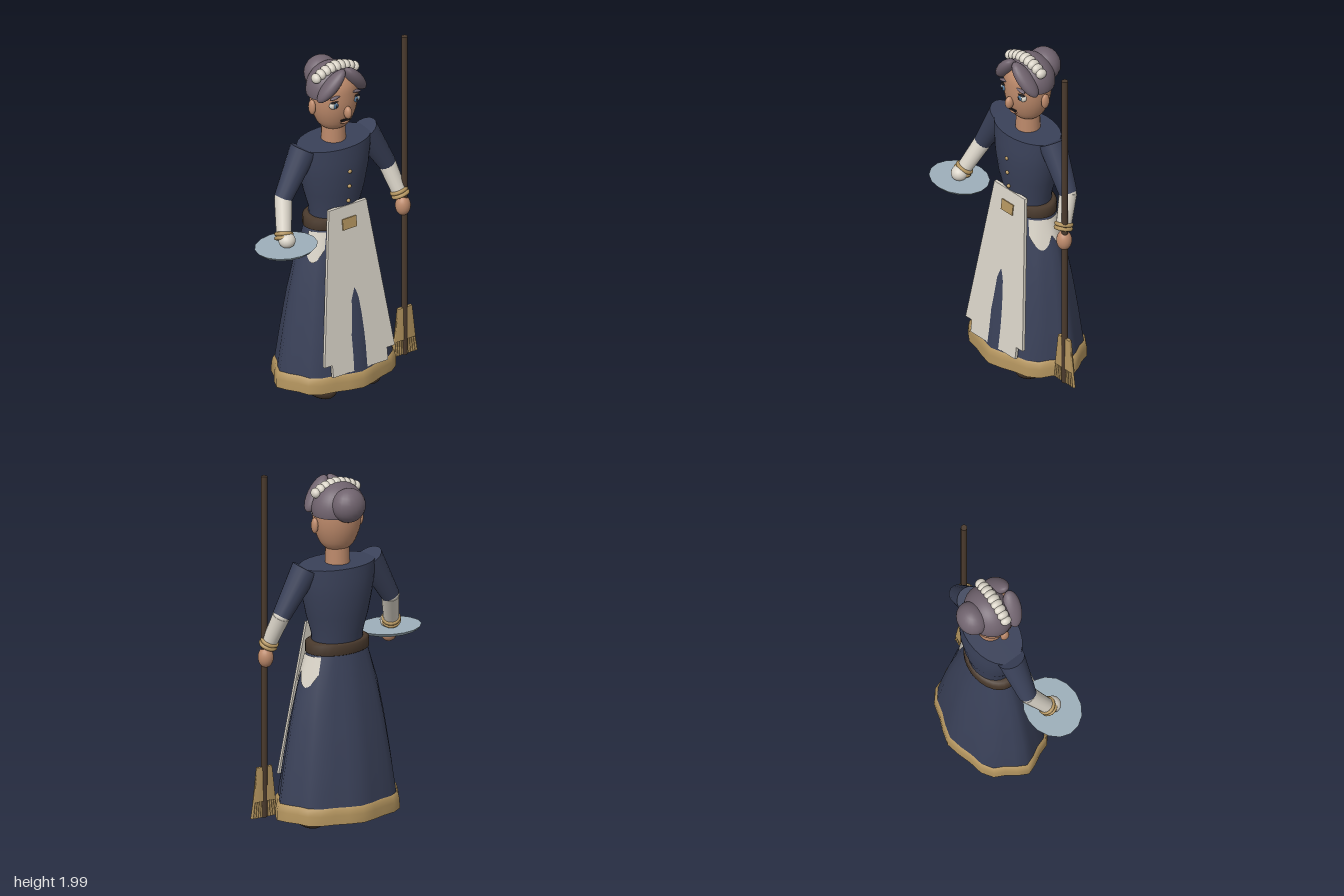
import * as THREE from 'three';

const mat = (name, color) => Object.assign(new THREE.MeshStandardMaterial({ color }), { name });
const M = {
  navy: mat('navy cloth', 0x3a4159), gold: mat('straw gold', 0xb4955f), cream: mat('cream linen', 0xd9d3c7),
  hair: mat('mauve hair', 0x70636e), skin: mat('skin', 0xbd8a6b), brown: mat('dark brown', 0x4a3a2d),
  tray: mat('pewter', 0x9dafba), dark: mat('near black', 0x1d1a1c), blue: mat('iris blue', 0x4f7292),
};
const SIDES = 28;
const V = (x, y, z) => new THREE.Vector3(x, y, z);

// Elliptical rings [y, rx, rz, ripple], listed from bottom to top
function loft(rings) {
  const pos = [], idx = [];
  rings.forEach(([y, rx, rz, amp = 0], i) => {
    for (let j = 0; j < SIDES; j++) {
      const a = (j / SIDES) * Math.PI * 2, k = 1 + amp * Math.cos(8 * a);
      pos.push(Math.sin(a) * rx * k, y, Math.cos(a) * rz * k);
      if (i === 0) continue;
      const n = (j + 1) % SIDES, lo = (i - 1) * SIDES, hi = i * SIDES;
      idx.push(lo + j, lo + n, hi + n, lo + j, hi + n, hi + j);
    }
  });
  const g = new THREE.BufferGeometry();
  g.setAttribute('position', new THREE.Float32BufferAttribute(pos, 3));
  g.setIndex(idx);
  g.computeVertexNormals();
  return g;
}

const SKIRT = [
  [0.105, 0.34, 0.25, 0.04], [0.19, 0.338, 0.247, 0.04], [0.4, 0.308, 0.221, 0.035],
  [0.6, 0.275, 0.193, 0.03], [0.8, 0.235, 0.156, 0.02], [1.0, 0.175, 0.118, 0],
];
function skirtAt(y) {
  let i = 1;
  while (i < SKIRT.length - 1 && SKIRT[i][0] < y) i++;
  const a = SKIRT[i - 1], b = SKIRT[i], t = (y - a[0]) / (b[0] - a[0]);
  return a.map((v, k) => v + (b[k] - v) * t);
}

export function createModel() {
  const root = new THREE.Group();
  root.name = 'housekeeper';
  const body = new THREE.Group();
  body.name = 'figure';
  body.position.x = 0.047;
  root.add(body);

  const add = (name, geo, material, p = [0, 0, 0]) => {
    const m = new THREE.Mesh(geo, material);
    m.name = name;
    m.position.set(...p);
    body.add(m);
    return m;
  };
  const ball = (name, material, p, r, rotZ = 0) => {
    const m = add(name, new THREE.SphereGeometry(1, 20, 14), material, p);
    m.scale.set(...r);
    m.rotation.z = rotZ;
    return m;
  };
  const limb = (name, material, a, b, ra, rb, sides = 16) => {
    const d = b.clone().sub(a);
    const m = add(name, new THREE.CylinderGeometry(rb, ra, d.length(), sides), material,
      a.clone().add(b).multiplyScalar(0.5).toArray());
    m.quaternion.setFromUnitVectors(V(0, 1, 0), d.normalize());
    return m;
  };

  // Dress: rippled skirt with closed underside, gold hem, bodice
  add('skirt', loft([[0.105, 0, 0], SKIRT[0], ...SKIRT]), M.navy);
  add('hem', loft([[0.1, 0.34, 0.248, 0.04], [0.1, 0.358, 0.262, 0.04], [0.1, 0.358, 0.262, 0.04],
    [0.15, 0.357, 0.261, 0.04], [0.18, 0.35, 0.256, 0.04], [0.192, 0.336, 0.245, 0.04]]), M.gold);
  add('bodice', loft([[1.0, 0.14, 0.11], [1.1, 0.146, 0.119], [1.2, 0.176, 0.136], [1.32, 0.202, 0.147],
    [1.4, 0.214, 0.145], [1.48, 0.22, 0.139], [1.48, 0.22, 0.139], [1.482, 0, 0]]), M.navy);
  add('belt', loft([[0.99, 0.168, 0.113], [1.0, 0.183, 0.128], [1.05, 0.183, 0.128], [1.06, 0.168, 0.115],
    [1.06, 0.14, 0.1]]), M.brown);
  [[1.34, 0.146], [1.25, 0.143], [1.16, 0.134]].forEach(([y, z]) =>
    ball('button', M.gold, [0, y, z], [0.011, 0.011, 0.01]));

  // Apron: slit panel leaning along the skirt front
  const half = [[0.122, 1.13], [0.228, 0.27], [0.178, 0.27], [0.178, 0.2], [0.037, 0.2], [0.027, 0.45], [0.014, 0.57]];
  const outline = [...half, [0, 0.63], ...half.map(([x, y]) => [-x, y]).reverse()];
  const apron = new THREE.ExtrudeGeometry(new THREE.Shape(outline.map(p => new THREE.Vector2(...p))),
    { depth: 0.018, bevelEnabled: false });
  const ap = apron.attributes.position;
  for (let i = 0; i < ap.count; i++) ap.setZ(i, ap.getZ(i) + 0.109 + (1.13 - ap.getY(i)) * 0.127);
  apron.computeVertexNormals();
  add('apron', apron, M.cream);
  add('buckle', new THREE.BoxGeometry(0.09, 0.062, 0.012), M.gold, [0, 1.03, 0.14]).rotation.x = -0.126;

  // Scalloped hip cloths hugging the skirt
  for (const [from, to, points] of [[40, 128, 2], [-78, -40, 1]]) {
    const g = new THREE.PlaneGeometry(1, 1, 20, 6), p = g.attributes.position;
    for (let i = 0; i < p.count; i++) {
      const u = p.getX(i) + 0.5, v = p.getY(i) + 0.5;
      const low = 0.9 - 0.075 * Math.abs(Math.sin(u * Math.PI * points));
      const y = low + (0.99 - low) * v, a = THREE.MathUtils.degToRad(from + (to - from) * u);
      const [, rx, rz, amp] = skirtAt(y), k = 1 + amp * Math.cos(8 * a);
      p.setXYZ(i, Math.sin(a) * (rx * k + 0.007), y, Math.cos(a) * (rz * k + 0.007));
    }
    g.computeVertexNormals();
    add('hipCloth', g, M.cream);
  }

  // Arms: sleeve, cuffed forearm, bangle, hand
  const arms = [
    { s: 1, wrist: V(0.375, 1.07, 0.075), hand: [0.39, 0.99, 0.085] },
    { s: -1, wrist: V(-0.397, 1.06, 0.1), hand: [-0.397, 0.972, 0.125] },
  ];
  for (const { s, wrist, hand } of arms) {
    const shoulder = V(s * 0.195, 1.475, 0), elbow = V(s * 0.338, 1.23, 0.012);
    limb('sleeve', M.navy, elbow, shoulder, 0.05, 0.076);
    ball('elbow', M.cream, elbow.toArray(), [0.046, 0.046, 0.046]);
    limb('forearm', M.cream, wrist, elbow, 0.041, 0.048);
    const dir = wrist.clone().sub(elbow).normalize();
    for (const off of [-0.008, 0.014]) {
      const b = add('bangle', new THREE.TorusGeometry(0.041, 0.011, 8, 20), M.gold,
        wrist.clone().addScaledVector(dir, off).toArray());
      b.quaternion.setFromUnitVectors(V(0, 0, 1), dir);
    }
    ball('hand', M.skin, hand, [0.042, s > 0 ? 0.057 : 0.042, 0.042]);
    ball('shoe', M.brown, [s * 0.143, 0.08, 0.06], [0.072, 0.074, 0.14]);
  }

  // Tray with a cloth ball on it
  const tray = add('tray', new THREE.CylinderGeometry(1, 0.9, 0.018, 16), M.tray, [-0.402, 1.005, 0.127]);
  tray.scale.set(0.178, 1, 0.148);
  ball('trayBall', M.cream, [-0.398, 1.045, 0.13], [0.046, 0.042, 0.046]);

  // Broom: pole and a fan of straw
  const bx = 0.398, bz = 0.088;
  add('broomPole', new THREE.CylinderGeometry(0.017, 0.017, 1.9, 14), M.brown, [bx, 1.05, bz]);
  add('broomHead', new THREE.CylinderGeometry(0.062, 0.09, 0.19, 4, 1, false, Math.PI / 4), M.gold, [bx, 0.285, bz])
    .scale.z = 0.2;
  for (let i = -5; i <= 5; i++) {
    limb('straw', M.gold, V(bx + i * 0.0148, 0.1, bz), V(bx + i * 0.0095, 0.3, bz), 0.0085, 0.006, 6);
  }

  // Neck and head
  add('neck', new THREE.CylinderGeometry(0.063, 0.067, 0.16, 20), M.skin, [0, 1.53, -0.003]);
  const face = [[0, 1.552], [0.05, 1.557], [0.09, 1.59], [0.117, 1.65], [0.13, 1.71], [0.132, 1.77], [0.124, 1.83], [0.085, 1.88], [0, 1.9]];
  const curve = new THREE.SplineCurve(face.map(p => new THREE.Vector2(...p)));
  const profile = curve.getPoints(24).map(p => p.setX(Math.max(0, p.x)));
  add('head', new THREE.LatheGeometry(profile, 28), M.skin).scale.z = 0.94;
  ball('nose', M.skin, [0, 1.685, 0.128], [0.021, 0.036, 0.026]);
  add('mouth', new THREE.BoxGeometry(0.056, 0.011, 0.009), M.dark, [0, 1.633, 0.107]);
  ball('lowerLip', M.skin, [0, 1.619, 0.099], [0.028, 0.01, 0.013]);
  for (const s of [-1, 1]) {
    ball('ear', M.skin, [s * 0.14, 1.705, -0.002], [0.017, 0.043, 0.025]);
    ball('eye', M.cream, [s * 0.068, 1.737, 0.098], [0.03, 0.023, 0.018]);
    ball('iris', M.blue, [s * 0.066, 1.737, 0.112], [0.015, 0.016, 0.008]);
    ball('pupil', M.dark, [s * 0.066, 1.737, 0.117], [0.007, 0.008, 0.005]);
    ball('eyelid', M.dark, [s * 0.068, 1.757, 0.105], [0.028, 0.004, 0.011], -s * 0.1);
    ball('eyebrow', M.hair, [s * 0.066, 1.785, 0.108], [0.034, 0.008, 0.012], -s * 0.2);
    // Parted fringe sweeping down from the crown
    const fringe = ball('fringe', M.hair, [s * 0.077, 1.848, 0.085], [0.112, 0.037, 0.05], -s * 0.86);
    fringe.rotation.order = 'YXZ';
    fringe.rotation.y = s * 0.3;
  }

  // Hair cap, bun and beaded headband
  const cap = add('hairCap', new THREE.SphereGeometry(1, 28, 16, 0, Math.PI * 2, 0, Math.PI * 0.56), M.hair, [0, 1.785, -0.014]);
  cap.scale.set(0.148, 0.143, 0.126);
  ball('bun', M.hair, [0, 1.826, -0.118], [0.094, 0.093, 0.082]);
  for (let i = -4; i <= 4; i++) {
    const t = i / 4, r = 0.033 - 0.006 * Math.abs(t);
    ball('headbandBead', M.cream, [t * 0.125, 1.912 - 0.034 * t * t, 0.014], [r * 0.88, r, r * 1.15]);
  }
  return root;
}
